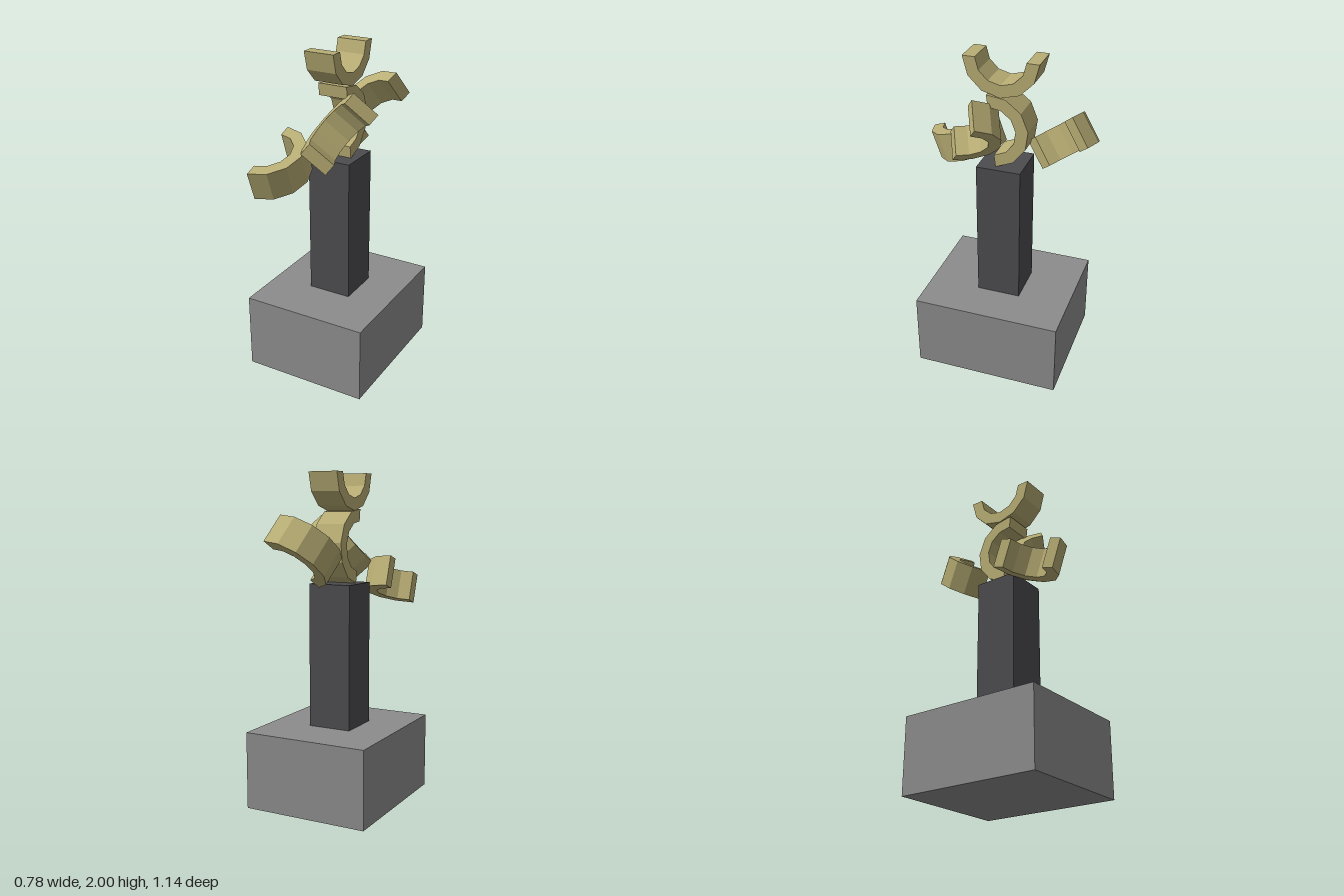
import * as THREE from 'three';

const OUTER = 0.224, INNER = 0.149, WIDTH = 0.185, STEPS = 6;

// Faceted half ring bulging toward local +x, its two ends on local +y and -y
function halfRingGeometry() {
  const points = [];
  for (let i = 0; i <= STEPS; i++) {
    const a = -Math.PI / 2 + (Math.PI * i) / STEPS;
    points.push(new THREE.Vector2(OUTER * Math.cos(a), OUTER * Math.sin(a)));
  }
  for (let i = STEPS; i >= 0; i--) {
    const a = -Math.PI / 2 + (Math.PI * i) / STEPS;
    points.push(new THREE.Vector2(INNER * Math.cos(a), INNER * Math.sin(a)));
  }
  const geometry = new THREE.ExtrudeGeometry(new THREE.Shape(points), { depth: WIDTH, bevelEnabled: false });
  return geometry.translate(0, 0, -WIDTH / 2);
}

export function createModel() {
  const model = new THREE.Group();
  const brass = new THREE.MeshStandardMaterial({ color: 0xb8ad74, flatShading: true });
  const dark = new THREE.MeshStandardMaterial({ color: 0x4c4c4f });
  const stone = new THREE.MeshStandardMaterial({ color: 0x8c8c8c });

  // Plinth and column
  function block(name, w, h, d, y, material) {
    const mesh = new THREE.Mesh(new THREE.BoxGeometry(w, h, d), material);
    mesh.name = name;
    mesh.position.y = y + h / 2;
    model.add(mesh);
  }
  block('plinth', 0.78, 0.47, 0.905, 0, stone);
  block('column', 0.27, 0.875, 0.27, 0.47, dark);

  // Half rings: centre, bulge direction, direction from one end to the other
  const geometry = halfRingGeometry();
  const rings = [
    ['topRing', [-0.008, 2, 0], [0, -1, 0], [0, 0, 1]],
    ['uprightRing', [-0.003, 1.565, 0.057], [0, 0.12, -0.99], [0, 0.99, 0.12]],
    ['rightFrontRing', [-0.27, 1.35, 0.327], [1, 0, 0], [0, 0.33, -0.945]],
    ['leftFrontRing', [0.122, 1.555, 0.222], [-0.565, -0.185, -0.797], [0.47, 0.72, -0.5]],
    ['backRing', [0.08, 1.545, -0.332], [-0.884, 0.066, -0.473], [0.41, 0.62, -0.68]],
  ];
  const sculpture = new THREE.Group();
  sculpture.name = 'sculpture';
  for (const [name, centre, bulge, ends] of rings) {
    const u = new THREE.Vector3(...bulge).normalize();
    const w = new THREE.Vector3().crossVectors(u, new THREE.Vector3(...ends)).normalize();
    const t = new THREE.Vector3().crossVectors(w, u);
    const ring = new THREE.Mesh(geometry, brass);
    ring.name = name;
    ring.quaternion.setFromRotationMatrix(new THREE.Matrix4().makeBasis(u, t, w));
    ring.position.set(...centre);
    sculpture.add(ring);
  }
  model.add(sculpture);
  return model;
}
